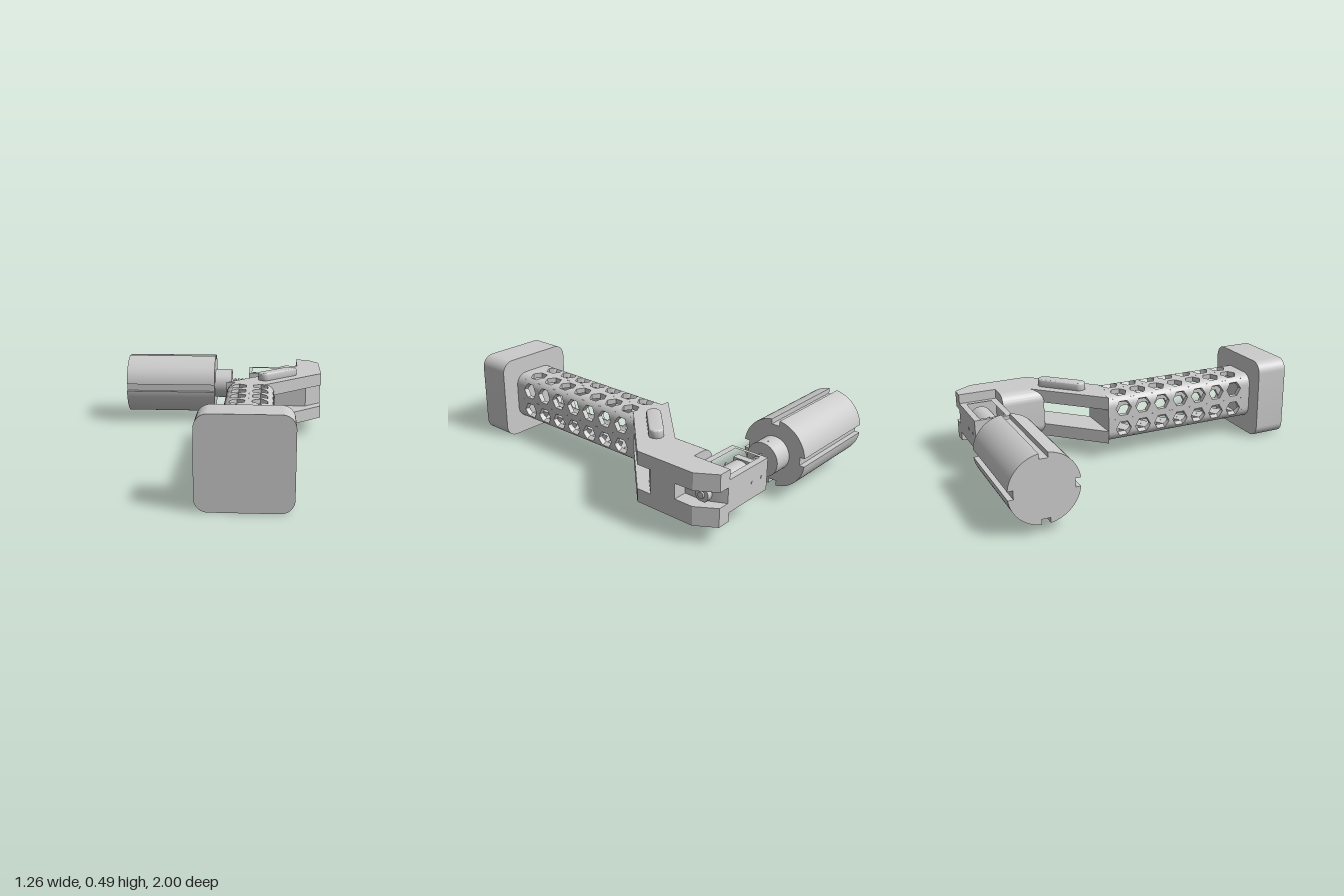
import * as THREE from 'three';
import { toCreasedNormals } from 'three/addons/utils/BufferGeometryUtils.js';

const material = new THREE.MeshStandardMaterial({ color: 0xcccccc });
const CX = 0.1925, CY = 0.2425;          // handle axis
const AY = 0.24, AZ = -0.81;             // drum and motor axis

export function createModel() {
  const root = new THREE.Group();

  function add(name, geometry, x = 0, y = 0, z = 0) {
    const mesh = new THREE.Mesh(geometry, material);
    mesh.name = name;
    mesh.position.set(x, y, z);
    root.add(mesh);
    return mesh;
  }
  const extrude = (shape, depth, extra = {}) => toCreasedNormals(
    new THREE.ExtrudeGeometry(shape, { depth, bevelEnabled: false, curveSegments: 12, ...extra }), 0.5);

  // horizontal slab from an [x, z] outline between two heights
  function slab(name, points, y0, y1, hole) {
    const toV = (p) => new THREE.Vector2(p[0], -p[1]);
    const shape = new THREE.Shape(points.map(toV));
    if (hole) shape.holes.push(new THREE.Path(hole.map(toV)));
    return add(name, extrude(shape, y1 - y0).rotateX(-Math.PI / 2), 0, y0, 0);
  }
  const rect = (x0, x1, z0, z1) => [[x0, z0], [x1, z0], [x1, z1], [x0, z1]];

  function roundedSquare(half, r) {
    const s = new THREE.Shape(), f = half - r;
    s.absarc(f, f, r, 0, Math.PI / 2);
    s.absarc(-f, f, r, Math.PI / 2, Math.PI);
    s.absarc(-f, -f, r, Math.PI, Math.PI * 1.5);
    s.absarc(f, -f, r, Math.PI * 1.5, Math.PI * 2);
    s.closePath();
    return s;
  }

  // cylinder along x on the drum axis
  function rod(name, x0, x1, r, sides = 48) {
    const g = new THREE.CylinderGeometry(r, r, x1 - x0, sides).rotateZ(Math.PI / 2);
    return add(name, g, (x0 + x1) / 2, AY, AZ);
  }

  // pommel and the plain ends of the handle
  add('pommel', extrude(roundedSquare(0.2425, 0.07), 0.19), CX, CY, 0.81);
  const handleEnd = roundedSquare(0.1425, 0.07);
  const pitch = 0.1262, firstRow = 0.695, rows = 7;
  const zTop = firstRow + pitch / 2, zLow = firstRow - (rows - 0.5) * pitch;
  add('handleFrontEnd', extrude(handleEnd, 0.81 - zTop), CX, CY, zTop);
  add('handleRearEnd', extrude(handleEnd, zLow + 0.16), CX, CY, -0.16);

  // perforated grip: hexagon cells wrapped round a rounded square
  const flat = 0.0725, R = 0.07, cellW = flat + R * Math.PI / 4, wall = 0.03;
  function wrap(u, z, d, face) {
    const a = Math.abs(u), s = Math.sign(u);
    let px = u, py = flat + R - d;
    if (a > flat) {
      const t = (a - flat) / R;
      px = s * (flat + (R - d) * Math.sin(t));
      py = flat + (R - d) * Math.cos(t);
    }
    const c = Math.cos(face), n = Math.sin(face);
    return [px * c - py * n, px * n + py * c, z];
  }
  function gripGeometry() {
    const pos = [], N = 48, hexR = 0.05;
    // radial loops: [blend from hexagon to cell border, depth]
    const rings = [[0, 0], [0.33, 0], [0.67, 0], [1, 0], [1, wall], [0.5, wall], [0, wall], [0, 0]];
    function point(i, [t, d], cu, cz, face) {
      const a = (i / N) * Math.PI * 2, c = Math.cos(a), s = Math.sin(a);
      const sector = Math.PI / 3;
      const off = ((a % sector) + sector) % sector - sector / 2;
      const hex = hexR * Math.cos(Math.PI / 6) / Math.cos(off + 0);
      // turn the hexagon so its corners point along the handle
      const hc = -Math.sin(a), hs = Math.cos(a);
      const m = 1 / Math.max(Math.abs(hc) / (cellW / 2), Math.abs(hs) / (pitch / 2));
      const r = hex + (m - hex) * t;
      return wrap(cu + hc * r, cz + hs * r, d, face);
    }
    for (let f = 0; f < 4; f++) for (const side of [-1, 1]) for (let row = 0; row < rows; row++) {
      const at = (i, k) => point(i, rings[k], side * cellW / 2, firstRow - row * pitch, f * Math.PI / 2);
      for (let i = 0; i < N; i++) for (let k = 0; k < rings.length - 1; k++) {
        if (k === 3) continue;           // neighbouring cells join here
        const a = at(i, k), b = at(i + 1, k), c = at(i + 1, k + 1), d = at(i, k + 1);
        pos.push(...a, ...c, ...b, ...a, ...d, ...c);
      }
    }
    const g = new THREE.BufferGeometry();
    g.setAttribute('position', new THREE.Float32BufferAttribute(pos, 3));
    return toCreasedNormals(g, 0.5);
  }
  const grip = add('perforatedGrip', gripGeometry(), CX, CY, 0);
  grip.material = material.clone();
  grip.material.side = THREE.DoubleSide;

  // cranked arm: two plates with a window between them
  const plate = [[0.05, -0.16], [0.12, -0.16], [0.27, -0.125], [0.275, -0.1], [0.63, -0.455],
    [0.63, -0.7], [0.41, -0.7], [0.41, -0.52]];
  slab('lowerArmPlate', plate, 0.1, 0.175);
  slab('upperArmPlate', plate, 0.31, 0.385);
  slab('armCore', [[0.405, -0.45], [0.535, -0.45], [0.63, -0.545], [0.63, -0.7], [0.405, -0.7]], 0.175, 0.31);

  // rounded inner edge of the arm
  const edge = new THREE.Shape();
  edge.moveTo(0.41, 0.1);
  edge.lineTo(0.41, 0.385);
  edge.absarc(0.41, 0.315, 0.07, Math.PI / 2, Math.PI);
  edge.absarc(0.41, 0.17, 0.07, Math.PI, Math.PI * 1.5);
  add('armRoundedEdge', extrude(edge, 0.25), 0, 0, -0.7);

  // head with a notch running round its outer side
  const head = [[0.485, -0.7], [0.63, -0.7], [0.63, -0.81], [0.56, -0.92], [0.485, -0.92]];
  slab('lowerHead', head, 0.1, 0.205);
  slab('upperHead', head, 0.29, 0.385);
  slab('headWeb', [[0.485, -0.7], [0.55, -0.7], [0.55, -0.81], [0.495, -0.92], [0.485, -0.92]], 0.205, 0.29);
  rod('motorStub', 0.45, 0.56, 0.04, 32);
  rod('motorStubTip', 0.55, 0.57, 0.018, 24);

  // thumb button on the slanted part of the arm
  const pill = new THREE.Shape(), half = 0.11, pr = 0.028;
  pill.absarc(half, 0, pr, -Math.PI / 2, Math.PI / 2);
  pill.absarc(-half, 0, pr, Math.PI / 2, Math.PI * 1.5);
  pill.closePath();
  const button = add('thumbButton', extrude(pill, 0.03,
    { bevelEnabled: true, bevelSize: 0.012, bevelThickness: 0.012, bevelSegments: 3 }).rotateX(-Math.PI / 2), 0.355, 0.388, -0.33);
  button.rotation.y = Math.PI / 4;

  // open motor tray
  slab('motorTray', rect(0.17, 0.485, -0.92, -0.7), 0.15, 0.33, rect(0.19, 0.455, -0.885, -0.735));
  slab('trayFloor', rect(0.18, 0.47, -0.91, -0.71), 0.15, 0.165);
  for (const x of [0.22, 0.3]) for (const z of [-0.92, -0.7]) {
    add('trayScrew', new THREE.CylinderGeometry(0.008, 0.008, 0.006, 16).rotateX(Math.PI / 2), x, 0.24, z);
  }
  rod('motorBody', 0.25, 0.445, 0.068);
  rod('motorShoulder', 0.235, 0.25, 0.045, 32);
  add('gearbox', new THREE.BoxGeometry(0.04, 0.13, 0.11), 0.215, AY, AZ);

  // threaded shaft
  rod('shaft', 0.04, 0.2, 0.02, 24);
  const helix = [];
  for (let i = 0; i <= 80; i++) {
    const a = (i / 80) * Math.PI * 2 * 5;
    helix.push(new THREE.Vector3(0.055 + 0.115 * i / 80, 0.026 * Math.cos(a), 0.026 * Math.sin(a)));
  }
  add('shaftThread', new THREE.TubeGeometry(new THREE.CatmullRomCurve3(helix), 160, 0.008, 6), 0, AY, AZ);
  rod('collar', -0.055, 0.055, 0.095);
  add('collarSetScrew', new THREE.CylinderGeometry(0.012, 0.012, 0.19, 16), 0.01, AY, AZ);

  // drum with four lengthwise grooves
  const drum = new THREE.Shape(), r = 0.19, w = 0.0235, depth = 0.03;
  const a0 = Math.asin(w / r);
  for (let k = 0; k < 4; k++) {
    const q = k * Math.PI / 2;
    for (const s of [-w, w]) {
      const x = r - depth;
      drum[k === 0 && s < 0 ? 'moveTo' : 'lineTo'](
        x * Math.cos(q) - s * Math.sin(q), x * Math.sin(q) + s * Math.cos(q));
    }
    drum.absarc(0, 0, r, q + a0, q + Math.PI / 2 - a0);
  }
  drum.closePath();
  add('drum', extrude(drum, 0.58).rotateY(Math.PI / 2), -0.635, AY, AZ);

  return root;
}
